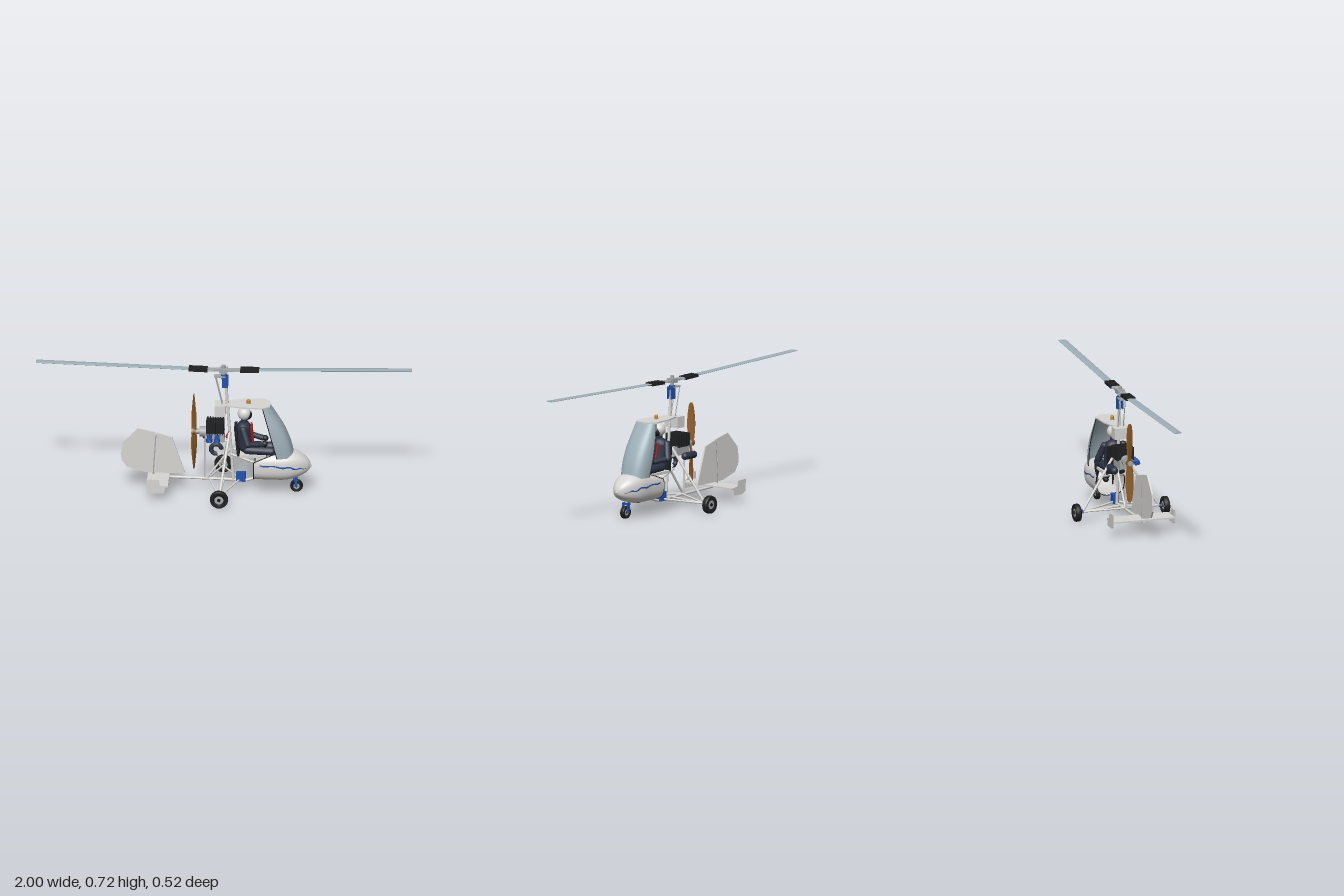
import * as THREE from 'three';

const mat = (name, color, double) => {
  const m = new THREE.MeshStandardMaterial({ color });
  m.name = name;
  if (double) m.side = THREE.DoubleSide;
  return m;
};

export function createModel() {
  const model = new THREE.Group();
  model.name = 'gyroplane';
  const white = mat('white paint', 0xd6d5d2, true), steel = mat('grey metal', 0xa5a9aa);
  const black = mat('black rubber', 0x1e2021), blue = mat('blue metal', 0x2450a8, true);
  const orange = mat('orange lamp', 0xd08020), wood = mat('varnished wood', 0x8e5c26);
  const navy = mat('navy suit', 0x2c3344), red = mat('red harness', 0xa82424);
  const glass = mat('tinted glass', 0x9fb0b9, true);
  const V = (x, y, z) => new THREE.Vector3(x, y, z);

  const add = (name, geo, m, x = 0, y = 0, z = 0, parent = model) => {
    const mesh = new THREE.Mesh(geo, m);
    mesh.name = name;
    mesh.position.set(x, y, z);
    parent.add(mesh);
    return mesh;
  };
  const box = (name, m, w, h, d, x, y, z, parent) => add(name, new THREE.BoxGeometry(w, h, d), m, x, y, z, parent);
  const ball = (name, m, r, x, y, z) => add(name, new THREE.SphereGeometry(r, 20, 14), m, x, y, z);
  // Straight rod between two points; round ends make a limb
  const rod = (name, m, a, b, r, limb) => {
    const p = V(...a), q = V(...b), len = p.distanceTo(q);
    const geo = limb ? new THREE.CapsuleGeometry(r, len, 5, 12) : new THREE.CylinderGeometry(r, r, len, 12);
    const mesh = add(name, geo, m);
    mesh.position.copy(p).add(q).multiplyScalar(0.5);
    mesh.quaternion.setFromUnitVectors(V(0, 1, 0), q.sub(p).normalize());
    return mesh;
  };
  // Grid surface whose points follow a rule f(u, v)
  const surface = (name, m, f, nu, nv) => {
    const geo = new THREE.PlaneGeometry(1, 1, nu, nv), p = geo.attributes.position;
    for (let i = 0; i < p.count; i++) {
      const q = f(p.getX(i) + 0.5, p.getY(i) + 0.5);
      p.setXYZ(i, q.x, q.y, q.z);
    }
    geo.computeVertexNormals();
    return add(name, geo, m);
  };
  const trim = (name, f) => {
    const pts = Array.from({ length: 17 }, (_, i) => f(i / 16));
    add(name, new THREE.TubeGeometry(new THREE.CatmullRomCurve3(pts), 32, 0.0025, 6), black);
  };
  const plate = (name, m, points, depth, z) => {
    const shape = new THREE.Shape(points.map(p => new THREE.Vector2(...p)));
    return add(name, new THREE.ExtrudeGeometry(shape, { depth, bevelEnabled: false }), m, 0, 0, z - depth / 2);
  };
  const pow = (v, e) => Math.sign(v) * Math.abs(v) ** e;

  // Nose pod: curve holds x, centre height and half height of each section
  const spine = new THREE.CatmullRomCurve3([V(0.16, 0.155, 0.076), V(0.25, 0.156, 0.079), V(0.34, 0.16, 0.08),
    V(0.4, 0.16, 0.062), V(0.44, 0.156, 0.036), V(0.455, 0.153, 0.018), V(0.462, 0.152, 0)]);
  const podAt = (t, a, s = 1) => {
    const c = spine.getPoint(t), h = Math.max(c.z, 0) * s;
    return V(c.x, c.y + h * pow(Math.cos(a), 0.75), h * 1.04 * pow(Math.sin(a), 0.75));
  };
  const opening = t => 1.22 * THREE.MathUtils.clamp((0.35 - spine.getPoint(t).x) / 0.19, 0, 1);
  surface('nosePod', white, (u, v) => {
    const o = opening(u);
    return podAt(u, o + v * 2 * (Math.PI - o));
  }, 40, 48);
  trim('podRearTrim', u => podAt(0, 1.22 + u * 2 * (Math.PI - 1.22)));
  for (const s of [1, -1]) {
    trim('podRimTrim', u => podAt(u * 0.33, s * opening(u * 0.33)));
    surface('podStripe', blue, (u, v) => podAt(0.06 + u * 0.6,
      s * (1.4 + 0.28 * u + 0.03 * Math.sin(u * 22) + (v - 0.5) * 0.08 * (1 - 0.5 * u)), 1.012), 40, 1);
  }
  ball('noseCap', white, 0.007, 0.46, 0.15, 0);

  // Wraparound windshield: rear x, front x and half width change with height
  const rear = new THREE.CatmullRomCurve3([V(0.285, 0.215, 0.079), V(0.265, 0.29, 0.083), V(0.243, 0.37, 0.08), V(0.207, 0.496, 0.063)]);
  const front = new THREE.CatmullRomCurve3([V(0.373, 0.215, 0), V(0.354, 0.29, 0), V(0.321, 0.37, 0), V(0.243, 0.496, 0)]);
  const shield = (u, v) => {
    const r = rear.getPoint(v), f = front.getPoint(v), a = (u - 0.5) * Math.PI;
    return V(r.x + (f.x - r.x) * pow(Math.cos(a), 0.8), r.y, r.z * pow(Math.sin(a), 0.75));
  };
  surface('windshield', glass, shield, 32, 20);
  for (const u of [0, 1]) trim('windshieldTrim', v => shield(u, v));

  // Roof with beacon
  const roof = plate('roof', white, [[0.01, -0.035], [0.1, -0.06], [0.21, -0.067], [0.245, -0.04], [0.25, 0],
    [0.245, 0.04], [0.21, 0.067], [0.1, 0.06], [0.01, 0.035]], 0.007, 0);
  roof.rotation.x = -Math.PI / 2;
  roof.position.set(0, 0.494, 0);
  add('beaconBase', new THREE.CylinderGeometry(0.012, 0.012, 0.006, 16), steel, 0.13, 0.503, 0);
  rod('beacon', orange, [0.13, 0.506, 0], [0.13, 0.516, 0], 0.01, true);

  // Frame tubes
  rod('keelTube', white, [-0.4, 0.074, 0], [0.12, 0.06, 0], 0.007);
  rod('forwardKeel', white, [0.12, 0.06, 0], [0.2, 0.085, 0], 0.007);
  rod('mast', white, [0.05, 0.06, 0], [0.008, 0.64, 0], 0.008);
  rod('engineUpright', white, [-0.1, 0.07, 0], [-0.1, 0.29, 0], 0.005);
  rod('engineBearer', white, [-0.1, 0.285, 0], [0.035, 0.28, 0], 0.006);
  rod('rearBrace', white, [-0.09, 0.07, 0], [0.035, 0.24, 0], 0.006);
  box('keelBracket', blue, 0.05, 0.05, 0.03, 0.09, 0.08, 0);
  for (const s of [1, -1]) {
    rod('seatRail', white, [0.035, 0.225, s * 0.04], [0.17, 0.18, s * 0.05], 0.006);
    const axle = [-0.015, 0.05, s * 0.215];
    rod('axleTube', white, [0.0, 0.062, 0], axle, 0.006);
    rod('frontDragStrut', white, [0.085, 0.065, 0], axle, 0.005);
    rod('rearDragStrut', white, [-0.08, 0.07, 0], axle, 0.005);
    rod('mainStrut', white, [0.03, 0.34, s * 0.02], axle, 0.007);
    box('axleClamp', blue, 0.014, 0.02, 0.006, -0.015, 0.052, s * 0.216);
    rod('stubAxle', steel, axle, [-0.015, 0.048, s * 0.25], 0.004);
  }

  // Wheels with a rounded tyre profile
  const wheel = (name, r, w, x, z) => {
    const g = new THREE.Group();
    g.name = name;
    g.position.set(x, r, z);
    g.rotation.x = Math.PI / 2;
    model.add(g);
    const profile = [[0.5, -0.4], [0.85, -0.5], [0.96, -0.42], [1, -0.2], [1, 0.2], [0.96, 0.42], [0.85, 0.5], [0.5, 0.4], [0.5, -0.4]];
    add('tyre', new THREE.LatheGeometry(profile.map(p => new THREE.Vector2(p[0] * r, p[1] * w)), 32), black, 0, 0, 0, g);
    add('rim', new THREE.CylinderGeometry(r * 0.51, r * 0.51, w * 0.7, 24), steel, 0, 0, 0, g);
    add('hub', new THREE.CylinderGeometry(r * 0.2, r * 0.2, w * 0.95, 12), black, 0, 0, 0, g);
  };
  for (const s of [1, -1]) wheel('mainWheel', 0.048, 0.031, -0.015, s * 0.247);
  wheel('noseWheel', 0.034, 0.024, 0.385, 0);
  for (const s of [1, -1]) box('noseFork', blue, 0.016, 0.046, 0.004, 0.382, 0.055, s * 0.018);
  box('noseForkCrown', blue, 0.022, 0.012, 0.04, 0.378, 0.079, 0);
  rod('noseLeg', steel, [0.378, 0.08, 0], [0.36, 0.12, 0], 0.008);

  // Tail surfaces
  plate('fin', white, [[-0.358, 0.322], [-0.275, 0.297], [-0.206, 0.094], [-0.372, 0.094]], 0.009, 0);
  plate('rudder', white, [[-0.457, 0.345], [-0.363, 0.324], [-0.378, 0.094], [-0.42, 0.097], [-0.516, 0.126],
    [-0.543, 0.165], [-0.548, 0.2], [-0.537, 0.26]], 0.009, 0);
  rod('rudderHinge', steel, [-0.36, 0.31, 0], [-0.375, 0.08, 0], 0.005);
  box('stabilizer', white, 0.115, 0.008, 0.34, -0.347, 0.083, 0);
  for (const s of [1, -1]) plate('endPlate', white, [[-0.403, 0.125], [-0.34, 0.123], [-0.333, 0.092], [-0.3, 0.088],
    [-0.312, 0.046], [-0.375, 0.046], [-0.4, 0.06]], 0.004, s * 0.172);

  // Engine, tank and exhaust
  box('engineBlock', black, 0.095, 0.06, 0.085, -0.047, 0.368, 0);
  for (let i = 0; i < 7; i++) box('coolingFin', black, 0.005, 0.07, 0.096, -0.088 + i * 0.0137, 0.367, 0);
  box('crankcase', steel, 0.105, 0.05, 0.07, -0.05, 0.312, 0);
  rod('gearbox', steel, [-0.13, 0.335, 0], [-0.09, 0.335, 0], 0.028);
  for (const x of [-0.075, -0.035]) {
    rod('carburettor', blue, [x, 0.32, 0.03], [x, 0.32, 0.075], 0.013);
    rod('airFilter', blue, [x, 0.32, 0.068], [x, 0.302, 0.072], 0.016);
  }
  add('exhaustCoil', new THREE.TorusGeometry(0.027, 0.012, 10, 24, 5), navy, -0.04, 0.248, 0.03);
  rod('muffler', navy, [-0.1, 0.285, -0.065], [-0.03, 0.285, -0.065], 0.02, true);
  box('fuelTank', white, 0.058, 0.06, 0.09, -0.02, 0.468, 0);
  rod('coolantHose', red, [0.015, 0.31, 0.02], [0.03, 0.34, 0.02], 0.008);

  // Propeller: tapered, twisted blades
  rod('propellerShaft', steel, [-0.175, 0.335, 0], [-0.12, 0.335, 0], 0.014);
  rod('propellerHub', wood, [-0.167, 0.335, 0], [-0.151, 0.335, 0], 0.02);
  for (const s of [1, -1]) {
    const geo = new THREE.BoxGeometry(0.008, 0.212, 0.036, 1, 16, 2), p = geo.attributes.position;
    for (let i = 0; i < p.count; i++) {
      const t = p.getY(i) / 0.212 + 0.5, a = 0.85 - 0.65 * t;
      const k = (0.5 + 0.7 * Math.sin(Math.PI * Math.min(t * 0.85 + 0.1, 1))) * (t > 0.95 ? 0.6 : 1);
      const x = p.getX(i) * (1 - 0.6 * t), z = p.getZ(i) * k;
      p.setXYZ(i, x * Math.cos(a) + z * Math.sin(a), p.getY(i) + 0.108, z * Math.cos(a) - x * Math.sin(a));
    }
    geo.computeVertexNormals();
    add('propellerBlade', geo, wood, -0.159, 0.335, 0).rotation.x = s > 0 ? 0 : Math.PI;
  }

  // Rotor head and control rods
  for (const s of [1, -1]) {
    box('headCheekPlate', blue, 0.034, 0.065, 0.005, 0.006, 0.625, s * 0.013);
    rod('controlRod', steel, [-0.045, 0.655, s * 0.015], [0.0, 0.46, s * 0.015], 0.0025);
  }
  rod('headBearing', blue, [0, 0.64, 0], [0, 0.665, 0], 0.015);
  box('controlArm', steel, 0.06, 0.008, 0.032, -0.022, 0.655, 0);
  rod('rotorShaft', steel, [-0.003, 0.66, 0], [-0.003, 0.718, 0], 0.01);
  box('teeterBlock', steel, 0.045, 0.024, 0.04, -0.003, 0.69, 0);

  // Rotor blades, coned slightly upwards
  const rotor = new THREE.Group();
  rotor.name = 'rotor';
  rotor.position.y = 0.69;
  rotor.rotation.y = -0.013;
  model.add(rotor);
  for (const s of [1, -1]) {
    const arm = new THREE.Group();
    arm.name = 'rotorArm';
    arm.rotation.set(0, s > 0 ? 0 : Math.PI, 0.025);
    rotor.add(arm);
    const geo = new THREE.CylinderGeometry(0.0225, 0.0225, 0.95, 16);
    geo.rotateZ(Math.PI / 2).scale(1, 0.16, 1);
    add('rotorBlade', geo, glass, 0.523, 0, 0, arm);
    box('hubBar', steel, 0.17, 0.009, 0.034, 0.085, 0, 0, arm);
    box('bladeGrip', black, 0.1, 0.015, 0.052, 0.137, 0, 0, arm);
    for (let i = 0; i < 8; i++) add('gripBolt', new THREE.CylinderGeometry(0.004, 0.004, 0.022, 8), black,
      0.1 + (i >> 1) * 0.024, 0, i % 2 ? 0.014 : -0.014, arm);
  }

  // Seat
  box('seatPan', white, 0.14, 0.014, 0.11, 0.155, 0.217, 0);
  box('seatBack', black, 0.014, 0.16, 0.1, 0.07, 0.295, 0).rotation.z = 0.1;

  // Pilot
  rod('torso', navy, [0.115, 0.262, 0], [0.105, 0.36, 0], 0.04, true).scale.z = 1.3;
  rod('neck', navy, [0.105, 0.39, 0], [0.11, 0.42, 0], 0.018);
  ball('helmet', white, 0.036, 0.108, 0.442, 0);
  ball('visor', black, 0.026, 0.123, 0.436, 0).scale.y = 1.1;
  for (const s of [1, -1]) {
    rod('upperArm', navy, [0.105, 0.37, s * 0.053], [0.13, 0.295, s * 0.078], 0.018, true);
    rod('forearm', navy, [0.13, 0.295, s * 0.078], [0.205, 0.285, s * 0.045], 0.015, true);
    ball('glove', black, 0.016, 0.218, 0.286, s * 0.04);
    rod('thigh', navy, [0.125, 0.247, s * 0.033], [0.255, 0.242, s * 0.036], 0.023, true);
    rod('shin', navy, [0.255, 0.24, s * 0.036], [0.33, 0.135, s * 0.032], 0.018, true);
    rod('boot', black, [0.325, 0.12, s * 0.032], [0.355, 0.125, s * 0.032], 0.015, true);
    rod('harnessStrap', red, [0.145, 0.375, s * 0.026], [0.155, 0.265, s * 0.01], 0.006, true);
  }
  rod('controlStick', black, [0.225, 0.12, 0.035], [0.218, 0.3, 0.04], 0.005);
  return model;
}
